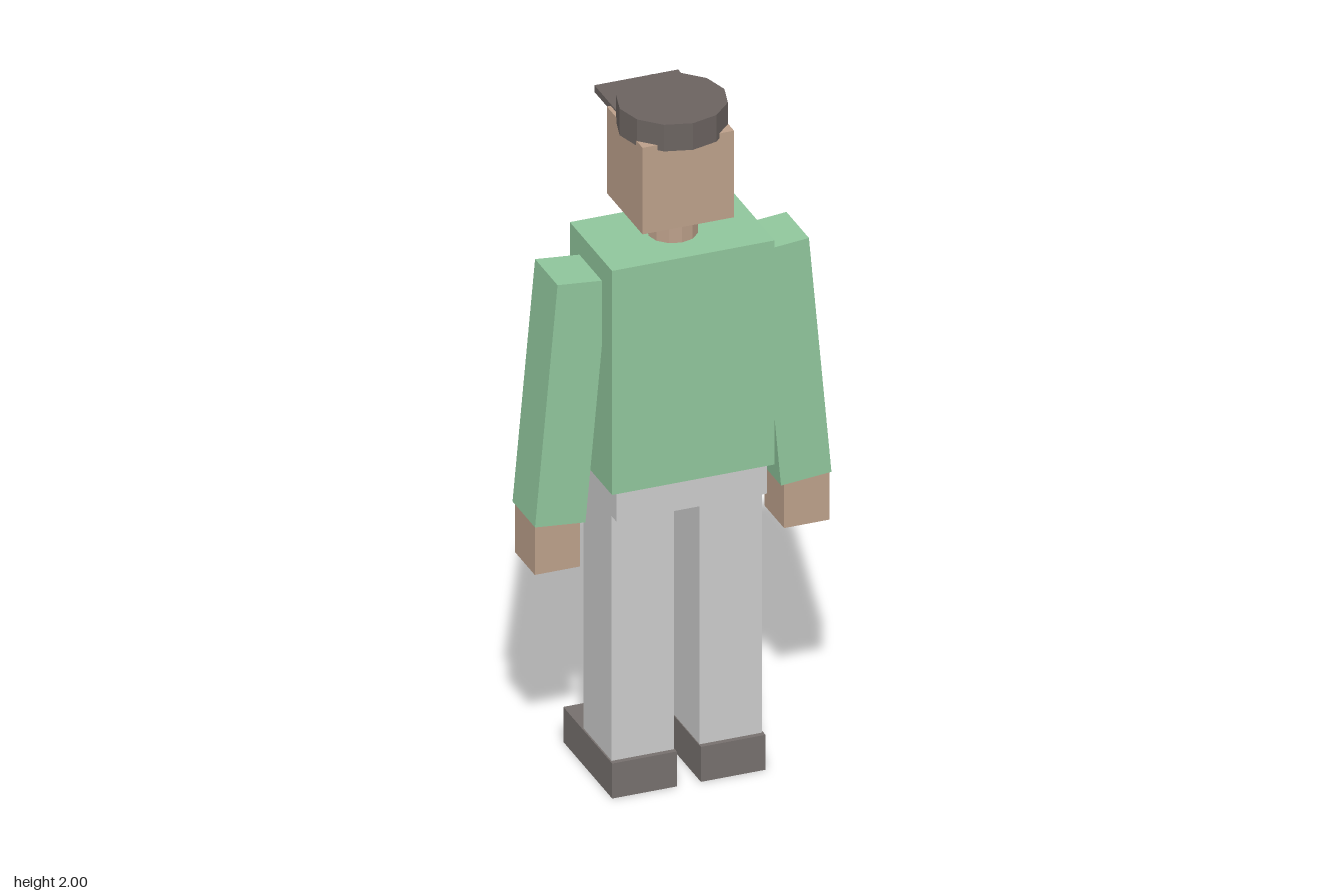
import * as THREE from 'three';

const mat = (color) => new THREE.MeshStandardMaterial({ color, flatShading: true });

export function createModel() {
  const model = new THREE.Group();
  const skin = mat(0xbca08a), shirt = mat(0x90c69c), trousers = mat(0xcccccc);
  const dark = mat(0x76706d), capCloth = mat(0x6b6360), eyeMat = mat(0x4a4a4a);

  const add = (name, geometry, material, x, y, z) => {
    const mesh = new THREE.Mesh(geometry, material);
    mesh.name = name;
    mesh.position.set(x, y, z);
    model.add(mesh);
    return mesh;
  };
  // box given by its centre x, width, and its y and z ranges
  const box = (name, material, x, w, y0, y1, z0, z1) =>
    add(name, new THREE.BoxGeometry(w, y1 - y0, z1 - z0), material, x, (y0 + y1) / 2, (z0 + z1) / 2);

  // body (the figure looks towards -z)
  box('torso', shirt, 0, 0.466, 0.93, 1.603, -0.098, 0.202);
  box('hips', trousers, 0, 0.43, 0.84, 0.935, -0.088, 0.19);

  // neck and head
  add('neck', new THREE.CylinderGeometry(0.068, 0.068, 0.1, 12), skin, 0, 1.64, 0.053);
  box('head', skin, 0, 0.262, 1.675, 1.935, -0.088, 0.166);

  // flat cap with brim
  add('cap', new THREE.CylinderGeometry(0.15, 0.15, 0.08, 12), capCloth, 0, 1.96, 0.05);
  box('capBrim', capCloth, 0, 0.24, 1.92, 1.94, -0.204, -0.03);

  // mirrored limbs and eyes
  for (const [side, s] of [['left', 1], ['right', -1]]) {
    box(side + 'Eye', eyeMat, s * 0.065, 0.034, 1.8, 1.85, -0.096, -0.08);
    box(side + 'Leg', trousers, s * 0.126, 0.178, 0.1, 0.845, -0.045, 0.155);
    box(side + 'Shoe', dark, s * 0.127, 0.185, 0, 0.105, -0.178, 0.17);
    box(side + 'Sleeve', shirt, s * 0.32, 0.145, 0.827, 1.545, -0.03, 0.13).rotation.z = s * 0.09;
    box(side + 'Hand', skin, s * 0.357, 0.13, 0.688, 0.85, -0.017, 0.122);
  }
  return model;
}
